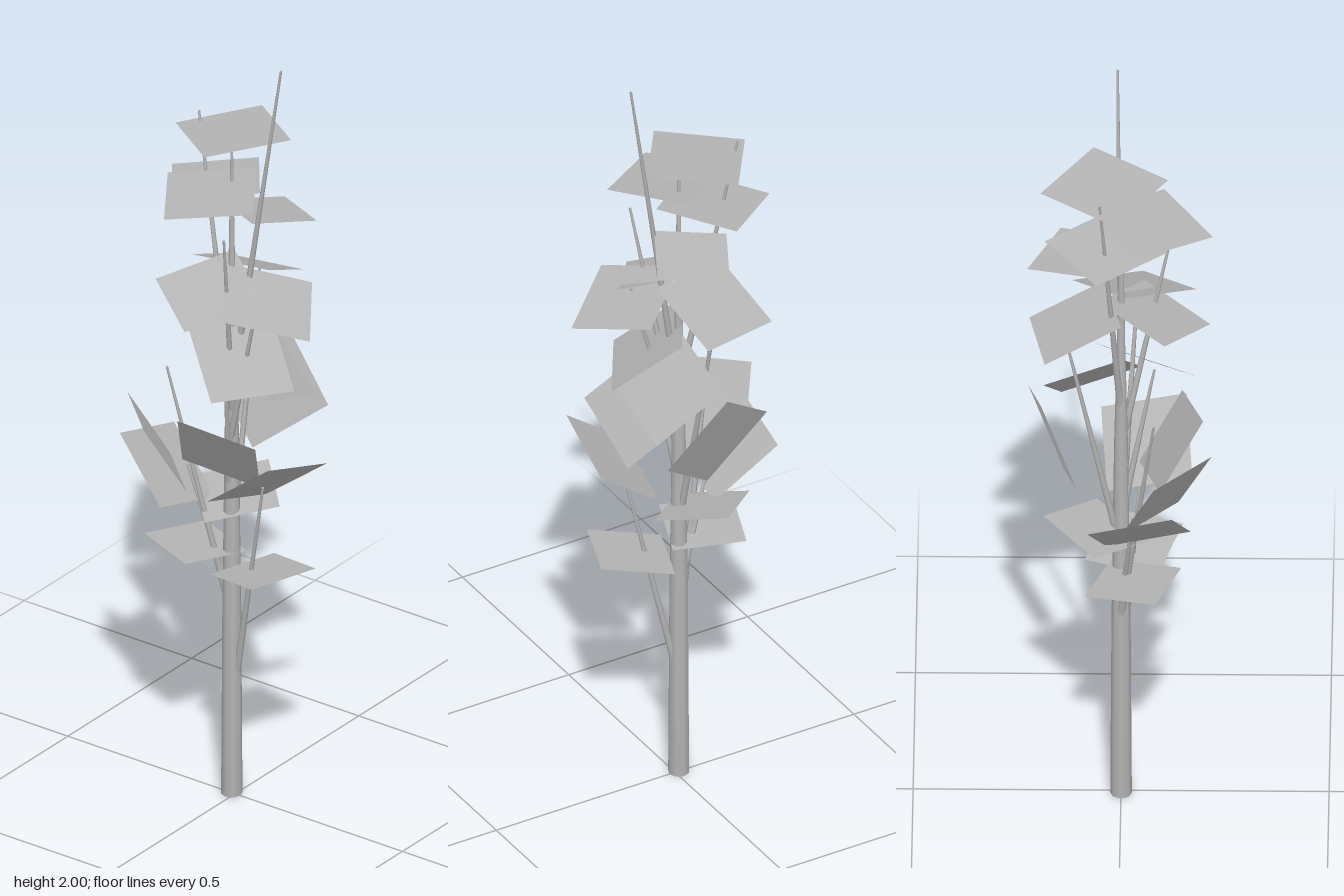
import * as THREE from 'three';

// Centre x, y, z; rise along x, rise along z; heading in degrees; side length
const LEAVES = [
  [-0.035, 1.772, -0.04, 0.08, 0, 35, 0.22],
  [-0.02, 1.655, 0.073, 0.03, -0.11, 56, 0.215],
  [-0.084, 1.63, -0.036, 0.1, 0, 53, 0.21],
  [0.018, 1.545, -0.11, 0, 0.2, 27, 0.175],
  [0.12, 1.385, 0.03, -0.38, -0.04, 55, 0.215],
  [-0.017, 1.395, 0.08, -0.055, -0.345, 33, 0.205],
  [-0.045, 1.385, -0.11, 0.1, 0.45, -11, 0.205],
  [0.05, 1.22, 0.045, -0.685, -0.385, -58, 0.215],
  [0.06, 1.16, -0.07, -0.9, 0.4, 15, 0.205],
  [-0.02, 1.035, -0.165, -0.58, -2.6, -28, 0.225],
  [0.04, 0.985, 0.12, 0.2, 1.5, -15, 0.205],
  [-0.152, 0.955, 0.11, -1.14, 1.24, 42, 0.205],
  [0.14, 0.915, 0.06, 0.8, 0.38, 97, 0.215],
  [-0.17, 0.86, 0.045, -0.95, 0.2, 16, 0.21],
  [-0.04, 0.785, -0.06, 0, -0.27, 45, 0.185],
  [-0.095, 0.667, 0.03, -0.06, 0.08, 20, 0.18],
  [0.105, 0.65, 0.03, 0.2, 0.05, 20, 0.185],
];

// Base x, y, z; tip x, y, z
const BRANCHES = [
  [0.005, 0.33, 0, 0.12, 0.89, 0.05],
  [-0.025, 0.53, 0, -0.145, 1.15, 0.08],
  [-0.02, 0.55, 0, -0.12, 0.87, 0.03],
  [-0.01, 0.75, -0.01, -0.03, 1.36, -0.14],
  [-0.01, 0.85, 0.01, 0.03, 1.2, 0.08],
  [-0.01, 0.95, 0.01, 0.1, 1.4, 0.04],
  [0, 1.05, 0.01, 0.055, 1.57, 0.12],
  [-0.01, 1.1, 0, -0.145, 1.79, -0.05],
  [0, 1.15, 0, 0.13, 2.0, -0.01],
];

export function createModel() {
  const model = new THREE.Group();
  const grey = new THREE.MeshStandardMaterial({ color: 0xb4b4b4, side: THREE.DoubleSide });
  grey.name = 'plainGrey';

  // Trunk tapering to a thin leader
  const profile = [[0, 0], [0.026, 0], [0.023, 0.5], [0.017, 1.0], [0.01, 1.3], [0.003, 1.765], [0, 1.765]]
    .map(([r, y]) => new THREE.Vector2(r, y));
  const trunk = new THREE.Mesh(new THREE.LatheGeometry(profile, 8), grey);
  trunk.name = 'trunk';
  trunk.position.x = -0.01;
  model.add(trunk);

  // Slim branches leaving the trunk at a narrow angle
  const branches = new THREE.Group();
  branches.name = 'branches';
  const up = new THREE.Vector3(0, 1, 0);
  for (const b of BRANCHES) {
    const from = new THREE.Vector3(b[0], b[1], b[2]);
    const to = new THREE.Vector3(b[3], b[4], b[5]);
    const dir = to.clone().sub(from);
    const branch = new THREE.Mesh(new THREE.CylinderGeometry(0.003, 0.009, dir.length(), 6), grey);
    branch.name = 'branch';
    branch.position.copy(from).lerp(to, 0.5);
    branch.quaternion.setFromUnitVectors(up, dir.normalize());
    branches.add(branch);
  }
  model.add(branches);

  // Flat square leaves, each lying in its own tilted plane
  const leaves = new THREE.Group();
  leaves.name = 'leaves';
  for (const [x, y, z, riseX, riseZ, heading, size] of LEAVES) {
    const a = THREE.MathUtils.degToRad(heading);
    const c = Math.cos(a), s = Math.sin(a);
    const along = new THREE.Vector3(c, riseX * c + riseZ * s, s).normalize();
    const normal = new THREE.Vector3(-riseX, 1, -riseZ).normalize();
    const across = new THREE.Vector3().crossVectors(along, normal);
    const leaf = new THREE.Mesh(new THREE.PlaneGeometry(size, size).rotateX(-Math.PI / 2), grey);
    leaf.name = 'leaf';
    leaf.quaternion.setFromRotationMatrix(new THREE.Matrix4().makeBasis(along, normal, across));
    leaf.position.set(x, y, z);
    leaves.add(leaf);
  }
  model.add(leaves);
  return model;
}
